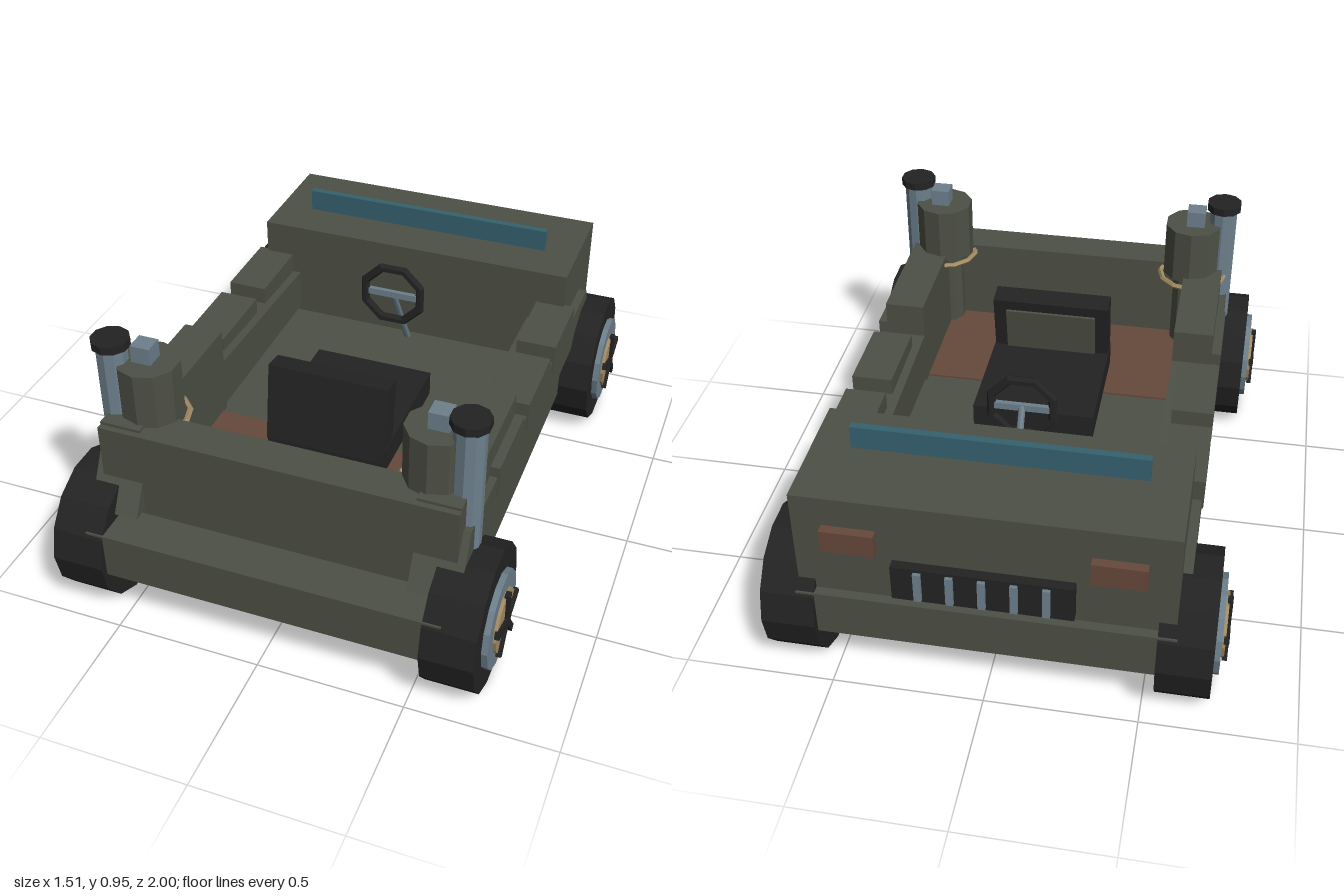
import * as THREE from 'three';

const mat = (name, color) => {
  const m = new THREE.MeshStandardMaterial({ color, flatShading: true });
  m.name = name;
  return m;
};

export function createModel() {
  const olive = mat('olive paint', 0x4d5045);
  const black = mat('black rubber', 0x232323);
  const steel = mat('blue steel', 0x6d808c);
  const brass = mat('brass', 0xa38c64);
  const teal = mat('teal glass', 0x356170);
  const rust = mat('rust brown', 0x66483b);

  const model = new THREE.Group();
  model.name = 'openBuggy';

  const add = (name, geometry, material, parent = model) => {
    const mesh = new THREE.Mesh(geometry, material);
    mesh.name = name;
    parent.add(mesh);
    return mesh;
  };
  // Box given by its limits on each axis
  const box = (name, material, [x0, x1], [y0, y1], [z0, z1], parent) => {
    const g = new THREE.BoxGeometry(x1 - x0, y1 - y0, z1 - z0);
    g.translate((x0 + x1) / 2, (y0 + y1) / 2, (z0 + z1) / 2);
    return add(name, g, material, parent);
  };
  // Upright cylinder given by its foot and top
  const post = (name, material, r, sides, x, z, y0, y1) => {
    const g = new THREE.CylinderGeometry(r, r, y1 - y0, sides);
    g.translate(x, (y0 + y1) / 2, z);
    return add(name, g, material);
  };

  // Chassis, hood and tail
  box('chassis', olive, [-0.6, 0.6], [0.2, 0.363], [-0.97, 0.97]);
  box('hood', olive, [-0.595, 0.595], [0.36, 0.735], [-0.937, -0.5]);
  box('tailWall', olive, [-0.6, 0.6], [0.36, 0.68], [0.69, 0.82]);
  box('rearFloor', rust, [-0.46, 0.46], [0.36, 0.369], [0.23, 0.69]);
  box('windscreen', teal, [-0.47, 0.47], [0.73, 0.815], [-0.685, -0.66]);

  // Grille and lamps
  box('grille', black, [-0.285, 0.285], [0.39, 0.52], [-0.97, -0.93]);
  for (let i = -2; i <= 2; i++) {
    box('grilleBar', steel, [i * 0.1 - 0.012, i * 0.1 + 0.012], [0.4, 0.51], [-0.982, -0.96]);
  }

  // Side panel outline in z and y
  const outline = new THREE.Shape([
    [0.88, 0.385], [0.77, 0.58], [0.2, 0.565], [-0.51, 0.535], [-0.77, 0.53], [-0.85, 0.385],
  ].map(([z, y]) => new THREE.Vector2(z, y)));

  for (const s of [-1, 1]) {
    const span = (a, b) => (s > 0 ? [a, b] : [-b, -a]);

    const panel = new THREE.ExtrudeGeometry(outline, { depth: 0.165, bevelEnabled: false });
    panel.rotateY(-Math.PI / 2);
    panel.translate(s > 0 ? 0.625 : -0.46, 0, 0);
    add('sidePanel', panel, olive);

    box('rearArm', olive, span(0.46, 0.6), [0.36, 0.69], [0.2, 0.8]);
    for (const z of [0.345, -0.01, -0.37]) {
      box('armPad', olive, span(0.49, 0.632), [0.5, 0.61], [z - 0.143, z + 0.143]);
    }
    box('lamp', rust, span(0.33, 0.5), [0.55, 0.63], [-0.968, -0.93]);

    // Boiler drum with neck, brass hoop and valve
    post('drumNeck', olive, 0.065, 10, s * 0.48, 0.67, 0.36, 0.7);
    post('drum', olive, 0.105, 10, s * 0.48, 0.67, 0.67, 0.875);
    box('drumValve', steel, span(0.455, 0.522), [0.87, 0.935], [0.635, 0.7]);
    const hoop = new THREE.TorusGeometry(0.122, 0.01, 5, 12);
    hoop.rotateX(Math.PI / 2);
    hoop.translate(s * 0.487, 0.66, 0.665);
    add('drumHoop', hoop, brass);

    // Exhaust stack
    post('exhaustPipe', steel, 0.052, 10, s * 0.587, 0.702, 0.42, 0.93);
    post('exhaustCap', black, 0.064, 10, s * 0.587, 0.702, 0.927, 0.955);

    // Wheels: the axle runs along x, built outward and mirrored by a half turn
    for (const z of [-0.757, 0.757]) {
      const wheel = new THREE.Group();
      wheel.name = 'wheel';
      wheel.position.set(0, 0.243, z);
      wheel.rotation.y = s > 0 ? 0 : Math.PI;
      const disc = (name, material, r, sides, x0, x1) => {
        const g = new THREE.CylinderGeometry(r, r, x1 - x0, sides);
        g.rotateZ(-Math.PI / 2);
        g.translate((x0 + x1) / 2, 0, 0);
        add(name, g, material, wheel);
      };
      disc('tyre', black, 0.243, 14, 0.54, 0.715);
      disc('rim', steel, 0.163, 14, 0.7, 0.735);
      disc('hubPlate', brass, 0.106, 14, 0.72, 0.746);
      disc('hub', black, 0.024, 10, 0.74, 0.757);
      for (let i = 0; i < 5; i++) {
        const g = new THREE.BoxGeometry(0.017, 0.115, 0.024);
        g.translate(0.7485, 0.0575, 0);
        g.rotateX((i * Math.PI * 2) / 5);
        add('spoke', g, black, wheel);
      }
      model.add(wheel);
    }
  }

  // Seat with a backrest leaning over the cushion
  box('seatCushion', black, [-0.215, 0.215], [0.4, 0.49], [-0.09, 0.385]);
  const back = new THREE.Group();
  back.name = 'seatBack';
  back.position.set(0, 0.57, 0.337);
  back.rotation.x = -0.15;
  box('backrest', black, [-0.212, 0.212], [-0.14, 0.14], [-0.04, 0.04], back);
  box('backrestPanel', olive, [-0.165, 0.165], [-0.1, 0.1], [-0.049, -0.035], back);
  model.add(back);

  // Steering wheel and column
  const ring = new THREE.TorusGeometry(0.113, 0.017, 6, 8);
  ring.rotateZ(Math.PI / 8);
  ring.translate(0, 0.66, -0.287);
  add('steeringWheel', ring, black);
  box('steeringSpoke', steel, [-0.105, 0.105], [0.648, 0.672], [-0.297, -0.28]);

  const from = new THREE.Vector3(0, 0.36, -0.47);
  const to = new THREE.Vector3(0, 0.665, -0.288);
  const column = add('steeringColumn', new THREE.CylinderGeometry(0.012, 0.012, from.distanceTo(to), 8), steel);
  column.position.copy(from).lerp(to, 0.5);
  column.quaternion.setFromUnitVectors(new THREE.Vector3(0, 1, 0), to.clone().sub(from).normalize());

  return model;
}
